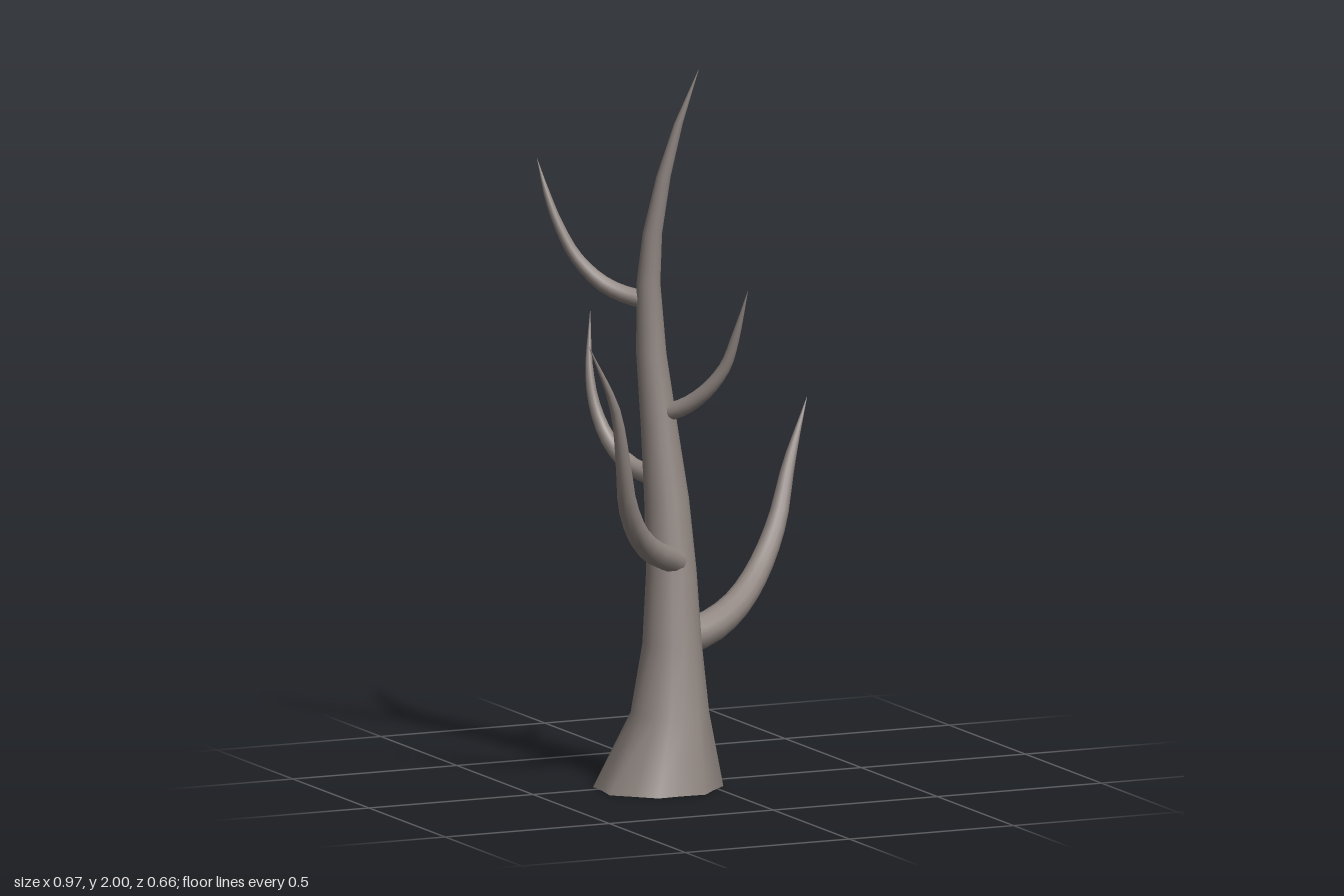
import * as THREE from 'three';
import { mergeVertices } from 'three/addons/utils/BufferGeometryUtils.js';

const bark = new THREE.MeshStandardMaterial({ color: 0x8f8580, side: THREE.DoubleSide });

// Trunk rings: height, centre x, centre z, radius, strength of the root flutes
const rings = [
  [0, -0.14, 0.03, 0.174, 1],
  [0.21, -0.107, 0.047, 0.107, 0.45],
  [0.4, -0.093, 0.035, 0.082, 0.1],
  [0.6, -0.086, 0.016, 0.07, 0],
  [0.8, -0.088, -0.011, 0.062, 0],
  [1.0, -0.1, -0.034, 0.051, 0],
  [1.2, -0.115, -0.053, 0.042, 0],
  [1.4, -0.122, -0.057, 0.033, 0],
  [1.54, -0.115, -0.046, 0.027, 0],
  [1.7, -0.089, -0.029, 0.02, 0],
  [1.85, -0.052, -0.01, 0.012, 0],
  [2, 0, 0.01, 0.0005, 0],
];

// Outline of the fluted foot, as radius at even steps around the trunk
const foot = [0.17, 0.187, 0.17, 0.188, 0.17, 0.188, 0.173, 0.188,
  0.163, 0.174, 0.165, 0.158, 0.172, 0.155, 0.178, 0.16];

function trunkGeometry() {
  const n = foot.length, pos = [], index = [];
  rings.forEach(([y, cx, cz, r, flute], i) => {
    for (let j = 0; j < n; j++) {
      const a = (j / n) * Math.PI * 2;
      const rad = r * (1 + flute * (foot[j] / 0.174 - 1));
      pos.push(cx + rad * Math.cos(a), y, cz + rad * Math.sin(a));
      if (i === rings.length - 1) continue;
      const p = i * n + j, q = i * n + (j + 1) % n;
      index.push(p, p + n, q, q, p + n, q + n);
    }
  });
  const geo = new THREE.BufferGeometry();
  geo.setAttribute('position', new THREE.Float32BufferAttribute(pos, 3));
  geo.setIndex(index);
  geo.computeVertexNormals();
  return geo;
}

// Tapered tube; each point is x, y, z, radius
function branchGeometry(points, segments = 16, sides = 12) {
  const curve = new THREE.CatmullRomCurve3(points.map(p => new THREE.Vector3(p[0], p[1], p[2])));
  const geo = new THREE.TubeGeometry(curve, segments, 1, sides, false);
  const pos = geo.attributes.position, v = new THREE.Vector3();
  for (let i = 0; i <= segments; i++) {
    const centre = curve.getPointAt(i / segments);
    const t = curve.getUtoTmapping(i / segments) * (points.length - 1);
    const k = Math.min(Math.floor(t), points.length - 2);
    const r = THREE.MathUtils.lerp(points[k][3], points[k + 1][3], t - k);
    for (let j = 0; j <= sides; j++) {
      const id = i * (sides + 1) + j;
      v.fromBufferAttribute(pos, id).sub(centre).multiplyScalar(r).add(centre);
      pos.setXYZ(id, v.x, v.y, v.z);
    }
  }
  // Weld the seam so the shading runs smoothly around
  geo.deleteAttribute('normal');
  geo.deleteAttribute('uv');
  const welded = mergeVertices(geo, 1e-5);
  welded.computeVertexNormals();
  return welded;
}

const branches = {
  lowerLeftBranch: [
    [-0.05, 0.405, 0.015, 0.05], [0.05, 0.43, -0.015, 0.047], [0.15, 0.475, -0.065, 0.041],
    [0.25, 0.555, -0.135, 0.035], [0.335, 0.67, -0.2, 0.028], [0.4, 0.82, -0.26, 0.018],
    [0.483, 0.99, -0.32, 0.0005]],
  lowerRightBranch: [
    [-0.09, 0.635, 0.05, 0.037], [-0.18, 0.672, 0.11, 0.035], [-0.25, 0.73, 0.16, 0.032],
    [-0.31, 0.83, 0.213, 0.027], [-0.343, 0.95, 0.255, 0.021], [-0.387, 1.12, 0.295, 0.014],
    [-0.483, 1.31, 0.33, 0.0005]],
  upperRightBranch: [
    [-0.125, 1.35, -0.065, 0.026], [-0.165, 1.36, -0.1, 0.025], [-0.22, 1.39, -0.145, 0.023],
    [-0.28, 1.46, -0.188, 0.018], [-0.32, 1.55, -0.22, 0.014], [-0.342, 1.63, -0.245, 0.01],
    [-0.36, 1.73, -0.275, 0.0005]],
  upperLeftBranch: [
    [-0.095, 1.035, -0.025, 0.025], [-0.05, 1.06, 0.025, 0.024], [-0.005, 1.11, 0.075, 0.021],
    [0.033, 1.18, 0.113, 0.017], [0.052, 1.27, 0.142, 0.012], [0.07, 1.4, 0.182, 0.0005]],
  backBranch: [
    [-0.095, 0.85, -0.04, 0.028], [-0.115, 0.858, -0.095, 0.027], [-0.14, 0.88, -0.16, 0.025],
    [-0.167, 0.935, -0.222, 0.022], [-0.188, 1.02, -0.264, 0.017], [-0.194, 1.12, -0.29, 0.012],
    [-0.173, 1.28, -0.33, 0.0005]],
};

export function createModel() {
  const tree = new THREE.Group();
  tree.name = 'bareTree';
  const add = (name, geometry) => {
    const mesh = new THREE.Mesh(geometry, bark);
    mesh.name = name;
    tree.add(mesh);
  };
  add('trunk', trunkGeometry());
  for (const [name, points] of Object.entries(branches)) add(name, branchGeometry(points));
  return tree;
}
